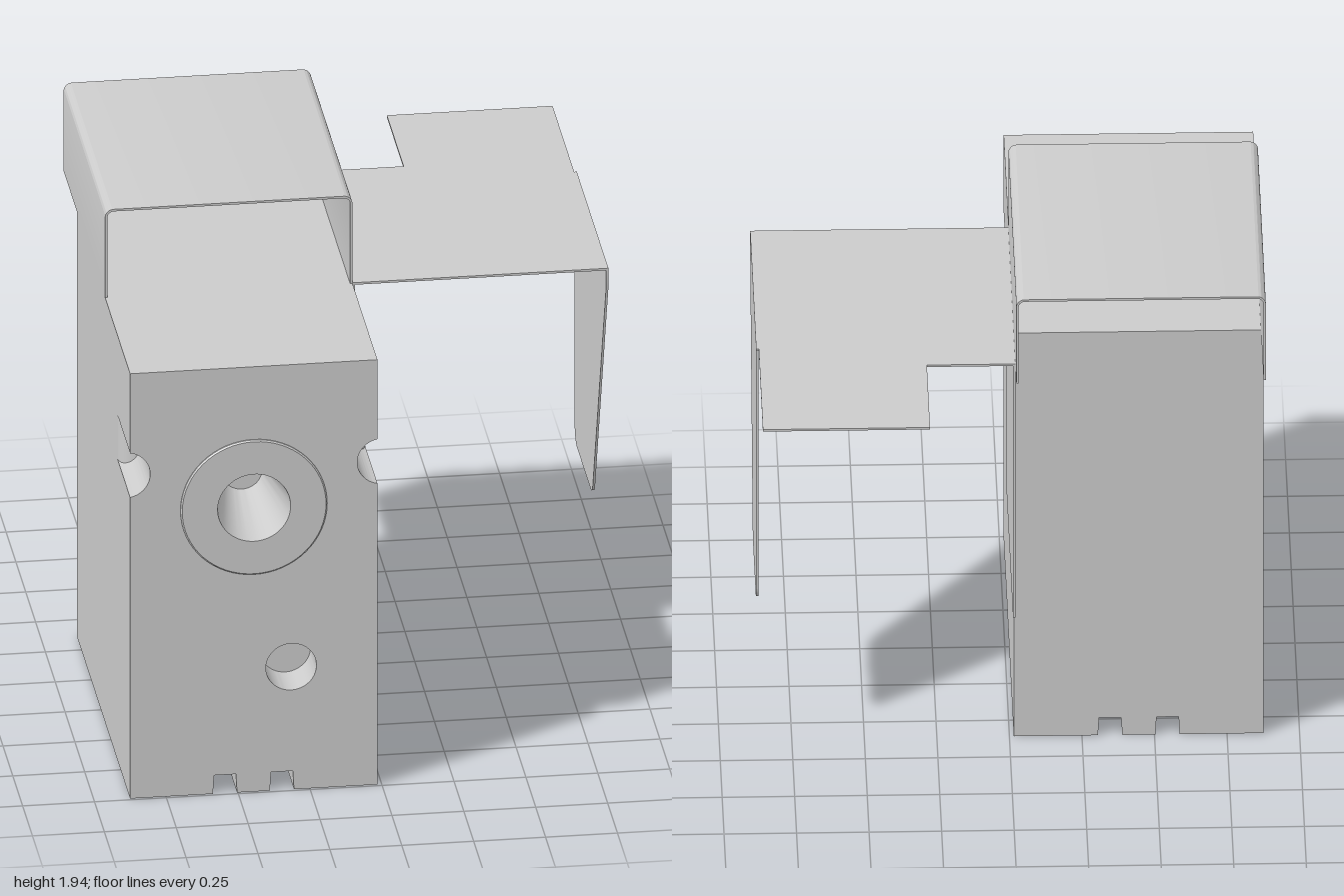
import * as THREE from 'three';
import { toCreasedNormals } from 'three/addons/utils/BufferGeometryUtils.js';
import { ParametricGeometry } from 'three/addons/geometries/ParametricGeometry.js';

const L = -0.875, R = -0.015, TOP = 1.61, BACK = -0.36, FRONT = 0.99;
const NOTCH = { y: 1.225, r: 0.085, off: 0.015, z0: 0.67, depth: 0.07 };
const BORE = { x: -0.445, y: 1.08, r: 0.127 };
const HOLE = { x: -0.315, y: 0.465, r: 0.088 };
const T = 0.008;

export function createModel() {
  const group = new THREE.Group();
  const mat = new THREE.MeshStandardMaterial({ color: 0xcccccc });
  const matDouble = new THREE.MeshStandardMaterial({ color: 0xcccccc, side: THREE.DoubleSide });

  const add = (name, geo, material = mat) => {
    const mesh = new THREE.Mesh(geo, material);
    mesh.name = name;
    group.add(mesh);
    return mesh;
  };
  const extrude = (shape, depth) => toCreasedNormals(
    new THREE.ExtrudeGeometry(shape, { depth, bevelEnabled: false, curveSegments: 32 }), 0.5);
  const circle = ({ x, y, r }) => new THREE.Path().absarc(x, y, r, 0, Math.PI * 2, true);

  // Front outline of the body: grooves in the base, optional side notches
  const bodyShape = (notched) => {
    const s = new THREE.Shape();
    const a = Math.acos(NOTCH.off / NOTCH.r);
    s.moveTo(L, 0);
    for (const x of [-0.545, -0.347]) {
      s.lineTo(x - 0.042, 0).lineTo(x - 0.038, 0.07).lineTo(x + 0.038, 0.07).lineTo(x + 0.042, 0);
    }
    s.lineTo(R, 0);
    if (notched) s.absarc(R + NOTCH.off, NOTCH.y, NOTCH.r, Math.PI + a, Math.PI - a, true);
    s.lineTo(R, TOP).lineTo(L, TOP);
    if (notched) s.absarc(L - NOTCH.off, NOTCH.y, NOTCH.r, a, -a, true);
    s.lineTo(L, 0);
    return s;
  };

  // Body: plain rear section and a front section with bores and notches
  add('bodyRear', extrude(bodyShape(false), NOTCH.z0 - BACK)).position.z = BACK;
  const frontShape = bodyShape(true);
  frontShape.holes.push(circle(BORE), circle(HOLE));
  add('bodyFront', extrude(frontShape, FRONT - NOTCH.z0)).position.z = NOTCH.z0;

  // Curved inner ends of the side notches
  for (const [name, edge, dir] of [['leftNotchEnd', R, -1], ['rightNotchEnd', L, 1]]) {
    const a = Math.acos(NOTCH.off / NOTCH.r);
    add(name, new ParametricGeometry((u, v, p) => {
      const t = (u * 2 - 1) * a;
      const d = v * v * Math.max(0, NOTCH.r * Math.cos(t) - NOTCH.off);
      const h = NOTCH.depth - d;
      const z = NOTCH.z0 + Math.sqrt(Math.max(0, NOTCH.depth ** 2 - h * h));
      p.set(edge + dir * d, NOTCH.y + NOTCH.r * Math.sin(t), z);
    }, 24, 10), matDouble);
  }

  // Raised collar with a tapered socket and a small centre dimple
  const profile = [[0, -0.32], [0.015, -0.32], [0.015, -0.3], [0.07, -0.3], [0.127, 0.01],
    [0.25, 0.01], [0.255, 0.005], [0.255, 0]];
  const collar = toCreasedNormals(
    new THREE.LatheGeometry(profile.map(([x, y]) => new THREE.Vector2(x, y)), 64), 0.5);
  collar.rotateX(Math.PI / 2);
  add('socketCollar', collar, matDouble).position.set(BORE.x, BORE.y, FRONT);

  // Floor of the lower blind hole
  add('lowerHoleFloor', new THREE.CircleGeometry(HOLE.r, 48)).position.set(HOLE.x, HOLE.y, 0.84);

  // Hood: thin inverted channel with rounded upper corners
  const hood = new THREE.Shape();
  const y1 = 1.943, ro = 0.03, ri = ro - T;
  hood.moveTo(L, TOP).lineTo(L + T, TOP).lineTo(L + T, y1 - ro);
  hood.absarc(L + ro, y1 - ro, ri, Math.PI, Math.PI / 2, true);
  hood.absarc(R - ro, y1 - ro, ri, Math.PI / 2, 0, true);
  hood.lineTo(R - T, TOP).lineTo(R, TOP);
  hood.absarc(R - ro, y1 - ro, ro, 0, Math.PI / 2, false);
  hood.absarc(L + ro, y1 - ro, ro, Math.PI / 2, Math.PI, false);
  hood.lineTo(L, TOP);
  add('hood', extrude(hood, 1.057)).position.z = -0.702;

  // Side bracket: plate against the body
  const plate = new THREE.BoxGeometry(T, 1.013, 0.93);
  add('bracketPlate', plate).position.set(R + T / 2, 1.1065, -0.11);

  // Side bracket: horizontal shelf with a rear tab (drawn in x, -z)
  const shelf = new THREE.Shape();
  [[R, -0.355], [0.875, -0.355], [0.875, 0.45], [0.866, 0.45], [0.866, 1],
    [0.29, 1], [0.29, 0.575], [R, 0.575]]
    .forEach(([x, y], i) => (i ? shelf.lineTo(x, y) : shelf.moveTo(x, y)));
  const shelfGeo = extrude(shelf, T);
  shelfGeo.rotateX(-Math.PI / 2);
  add('bracketShelf', shelfGeo).position.y = 1.613 - T;

  // Side bracket: tapered outer flange (drawn in -z, y)
  const flange = new THREE.Shape();
  flange.moveTo(-0.355, 1.61).lineTo(-0.355, 1.54).lineTo(-0.018, 0.64);
  flange.quadraticCurveTo(-0.002, 0.598, 0.045, 0.598);
  flange.lineTo(0.385, 0.598);
  flange.absarc(0.385, 0.658, 0.06, -Math.PI / 2, 0, false);
  flange.lineTo(0.445, 1.61).lineTo(-0.355, 1.61);
  const flangeGeo = extrude(flange, T);
  flangeGeo.rotateY(Math.PI / 2);
  add('bracketFlange', flangeGeo).position.x = 0.875 - T;

  return group;
}
